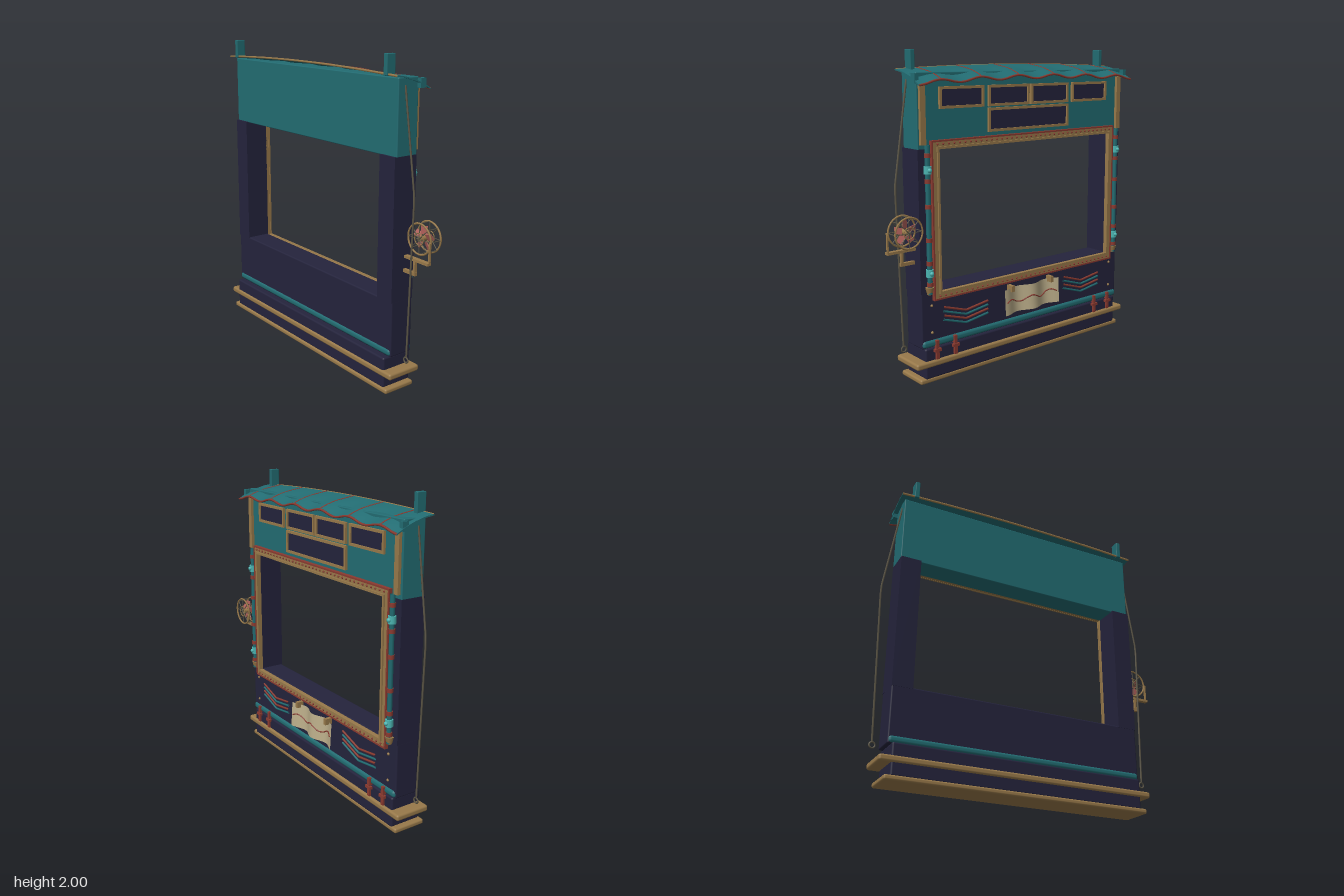
import * as THREE from 'three';
import { RoundedBoxGeometry } from 'three/addons/geometries/RoundedBoxGeometry.js';

const CX = -0.047; // centre line of the booth; the side fan shifts it off x = 0
const mat = (name, color, side = THREE.FrontSide) => {
  const m = new THREE.MeshStandardMaterial({ color, side });
  m.name = name;
  return m;
};

export function createModel() {
  const root = new THREE.Group();
  root.name = 'boothFront';
  const navy = mat('navy', 0x24233c);
  const teal = mat('teal', 0x226c72, THREE.DoubleSide);
  const tan = mat('brass', 0x98794a);
  const red = mat('rust', 0x8a3a30);
  const cyan = mat('brightTeal', 0x4bb5b2);
  const cream = mat('cream', 0xbcae8a, THREE.DoubleSide);
  const cord = mat('cord', 0x5c5646);
  const pink = mat('fanRed', 0xb0605a, THREE.DoubleSide);

  const add = (name, geo, material, x = 0, y = 0, z = 0, parent = root) => {
    const m = new THREE.Mesh(geo, material);
    m.name = name;
    m.position.set(x, y, z);
    parent.add(m);
    return m;
  };
  // Box given by its limits, optionally with rounded edges
  const box = (name, material, x0, x1, y0, y1, z0, z1, r = 0) => {
    const s = [x1 - x0, y1 - y0, z1 - z0];
    const g = r ? new RoundedBoxGeometry(...s, 2, r) : new THREE.BoxGeometry(...s);
    return add(name, g, material, (x0 + x1) / 2, (y0 + y1) / 2, (z0 + z1) / 2);
  };
  // Rod along a polyline or a smooth curve
  const rod = (name, material, pts, r, smooth = false, parent = root) => {
    const v = pts.map(p => new THREE.Vector3(...p));
    let path = new THREE.CurvePath();
    if (smooth) path = new THREE.CatmullRomCurve3(v);
    else for (let i = 1; i < v.length; i++) path.add(new THREE.LineCurve3(v[i - 1], v[i]));
    return add(name, new THREE.TubeGeometry(path, smooth ? 72 : 12 * (v.length - 1), r, 6), material, 0, 0, 0, parent);
  };
  // Rectangular picture frame standing in front of the back face
  const frame = (name, material, x0, x1, y0, y1, w, z0, z1) => {
    const rect = (S, a, b, c, d) => new S([[a, c], [b, c], [b, d], [a, d]].map(p => new THREE.Vector2(...p)));
    const s = rect(THREE.Shape, x0, x1, y0, y1);
    s.holes.push(rect(THREE.Path, x0 + w, x1 - w, y0 + w, y1 - w));
    return add(name, new THREE.ExtrudeGeometry(s, { depth: z1 - z0, bevelEnabled: false }), material, 0, 0, z0);
  };

  // Base and plinth
  box('bottomSlab', tan, -0.91, 0.815, 0.005, 0.037, -0.08, 0.14, 0.012);
  box('plinth', navy, -0.872, 0.778, 0.03, 0.225, -0.08, 0.13, 0.012);
  box('baseRail', tan, -0.945, 0.848, 0.108, 0.148, -0.095, 0.14, 0.014);
  box('tealMoulding', teal, -0.888, 0.793, 0.228, 0.275, -0.082, 0.1, 0.02);

  // Walls around the opening
  box('lowerPanel', navy, -0.89, 0.795, 0.225, 0.578, -0.07, 0.092, 0.01);
  box('pillarRight', navy, -0.89, -0.76, 0.57, 1.435, -0.07, 0.094);
  box('pillarLeft', navy, 0.666, 0.795, 0.57, 1.435, -0.07, 0.094);
  box('header', teal, -0.89, 0.795, 1.43, 1.872, -0.07, 0.08, 0.006);

  // Frame of the opening
  frame('openingFrame', tan, -0.802, 0.708, 0.53, 1.475, 0.042, -0.092, -0.068);
  frame('frameInnerLip', tan, -0.772, 0.678, 0.56, 1.445, 0.014, -0.102, -0.09);
  frame('frameRedLine', red, -0.81, 0.716, 0.522, 1.483, 0.01, -0.096, -0.068);
  const bead = new THREE.SphereGeometry(0.007, 6, 4);
  for (let i = 0; i <= 36; i++)
    for (const y of [0.545, 1.46]) add('frameBead', bead, red, CX - 0.72 + i * 0.04, y, -0.094);

  // Header windows and the wide sign panel
  const panel = (name, x, w, y0, y1) => {
    box(name, navy, x - w, x + w, y0, y1, -0.076, -0.069);
    frame(name + 'Frame', tan, x - w - 0.015, x + w + 0.015, y0 - 0.014, y1 + 0.014, 0.016, -0.086, -0.068);
  };
  for (const dx of [-0.53, -0.17, 0.17, 0.53]) panel('window', CX + dx, 0.148, 1.675, 1.775);
  panel('signPanel', CX, 0.32, 1.52, 1.638);

  // Corner posts and banded pipes
  for (const s of [-1, 1]) {
    const x = CX + s * 0.812, px = CX + s * 0.79;
    box('cornerPost', tan, x - 0.018, x + 0.018, 1.46, 1.82, -0.09, -0.066);
    rod('sidePipe', teal, [[px, 0.57, -0.09], [px, 1.46, -0.09]], 0.016);
    for (const y of [0.63, 0.76, 0.9, 1.1, 1.25, 1.4])
      add('pipeBand', new THREE.CylinderGeometry(0.02, 0.02, 0.025, 10), red, px, y, -0.09);
    for (const y of [0.7, 1.315]) {
      add('pipeJoint', new THREE.CylinderGeometry(0.024, 0.024, 0.045, 10), cyan, px, y, -0.09);
      add('jointKnob', new THREE.SphereGeometry(0.014, 8, 6), cyan, px, y, -0.112);
    }
    add('pipeCup', new THREE.CylinderGeometry(0.028, 0.016, 0.045, 10), tan, px, 0.59, -0.085);
    // Clamps over the base moulding
    for (const d of [0.61, 0.745]) {
      const cxp = CX + s * d;
      box('clamp', red, cxp - 0.011, cxp + 0.011, 0.15, 0.27, -0.094, -0.07);
      box('clampBar', red, cxp - 0.024, cxp + 0.024, 0.2, 0.218, -0.1, -0.078);
    }
    for (const y of [0.32, 0.49])
      add('stud', new THREE.SphereGeometry(0.009, 8, 6), tan, CX + s * 0.77, y, -0.072);
  }

  // Bent decorative strips on the lower panel
  for (const x of [0.64, -0.36])
    [red, teal, red, teal].forEach((m, i) => {
      const y = 0.465 - i * 0.027;
      rod('bentStrip', m, [[x, y, -0.076], [x - 0.17, y - 0.055, -0.076], [x - 0.34, y - 0.03, -0.076]], 0.007);
    });

  // Crumpled notice with a wavy line and clips
  const noticeZ = (x, y) => -0.1 + 0.017 * Math.sin(x * 26) + 0.06 * (y - 0.4);
  const notice = new THREE.PlaneGeometry(0.47, 0.17, 24, 4).translate(CX, 0.4, 0);
  const np = notice.attributes.position;
  for (let i = 0; i < np.count; i++) np.setZ(i, noticeZ(np.getX(i), np.getY(i)));
  notice.computeVertexNormals();
  add('notice', notice, cream);
  const wave = [];
  for (let i = 0; i <= 12; i++) {
    const x = CX - 0.22 + i * 0.0367, y = 0.395 + 0.016 * Math.sin(i * 1.3);
    wave.push([x, y, noticeZ(x, y) - 0.003]);
  }
  rod('noticeLine', red, wave, 0.004, true);
  for (const s of [-1, 1]) box('noticeClip', tan, CX + s * 0.17 - 0.012, CX + s * 0.17 + 0.012, 0.465, 0.505, -0.12, -0.07);

  // Arched, rippled awning
  const roofY = (x, z) => {
    const u = (x + 0.05) / 0.87, back = Math.max(0, (0.05 - z) / 0.19);
    return 1.868 + 0.15 * z - 1.1 * Math.max(0, -z) ** 2 + 0.022 * (1 - u * u)
      - 0.012 * back * (1 + Math.cos(((x + 0.05) / 0.29) * 2 * Math.PI));
  };
  const awning = new THREE.BoxGeometry(1.74, 0.008, 0.25, 72, 1, 10).translate(-0.05, 0, -0.015);
  const ap = awning.attributes.position;
  for (let i = 0; i < ap.count; i++) ap.setY(i, ap.getY(i) + roofY(ap.getX(i), ap.getZ(i)));
  awning.computeVertexNormals();
  add('awning', awning, teal);
  const along = z => Array.from({ length: 37 }, (_, i) => {
    const x = -0.92 + (i * 1.74) / 36;
    return [x, roofY(x, z), z];
  });
  rod('awningFrontTrim', tan, along(0.11), 0.007, true);
  rod('awningBackTrim', red, along(-0.14), 0.007, true);
  for (const k of [-2.5, -1.5, -0.5, 0.5, 1.5, 2.5]) {
    const x = -0.05 + k * 0.29;
    rod('awningSeam', red, [0.108, 0.05, 0, -0.05, -0.1, -0.14].map(z => [x, roofY(x, z) + 0.003, z]), 0.005);
  }

  // Roof blocks, side brackets and hanging cords
  for (const s of [-1, 1]) {
    const x = CX + s * 0.777, at = (d, y) => [CX + s * d, y, 0.03];
    box('roofBlock', teal, x - 0.015, x + 0.015, 1.88, 2, 0.06, 0.122, 0.004);
    const b = CX + s * 0.856;
    box('roofBracket', teal, b - 0.014, b + 0.014, 1.81, 1.865, -0.1, -0.06);
    rod('cord', cord, [at(0.842, 1.83), at(0.938, 1.215), at(0.912, 0.24)], 0.006);
    add('cordRing', new THREE.TorusGeometry(0.017, 0.005, 6, 16), cord, ...at(0.91, 0.22));
  }

  // Caged fan on its bracket
  const fan = new THREE.Group();
  fan.name = 'sideFan';
  fan.position.set(0.887, 0.965, -0.06);
  root.add(fan);
  const ring = (r, z, t) => add('cageRing', new THREE.TorusGeometry(r, t, 6, 28), tan, 0, 0, z, fan);
  for (const z of [-0.042, 0.036]) {
    ring(0.092, z, 0.006);
    ring(0.035, z * 1.1, 0.003);
  }
  for (let i = 0; i < 8; i++) {
    const a = (i * Math.PI) / 4, c = 0.092 * Math.cos(a), s = 0.092 * Math.sin(a);
    rod('cageSpoke', cord, [[0, 0, -0.046], [c, s, -0.042], [c, s, 0.036], [0, 0, 0.04]], 0.0028, false, fan);
  }
  for (let i = 0; i < 5; i++) {
    const pivot = new THREE.Group();
    pivot.rotation.z = (i * Math.PI * 2) / 5 + 0.3;
    fan.add(pivot);
    add('fanBlade', new THREE.BoxGeometry(0.05, 0.04, 0.004), pink, 0.048, 0, 0, pivot).rotation.x = 0.45;
  }
  add('fanHub', new THREE.CylinderGeometry(0.016, 0.016, 0.075, 12), tan, 0, 0, 0, fan).rotation.x = Math.PI / 2;
  box('bracketFoot', tan, 0.79, 0.89, 0.748, 0.768, -0.012, 0.008);
  box('bracketStem', tan, 0.872, 0.887, 0.76, 0.85, -0.012, 0.006);
  box('bracketShelf', tan, 0.79, 0.985, 0.834, 0.85, -0.025, 0.004);
  box('bracketArm', tan, 0.975, 0.985, 0.84, 0.965, -0.022, -0.01);
  return root;
}
